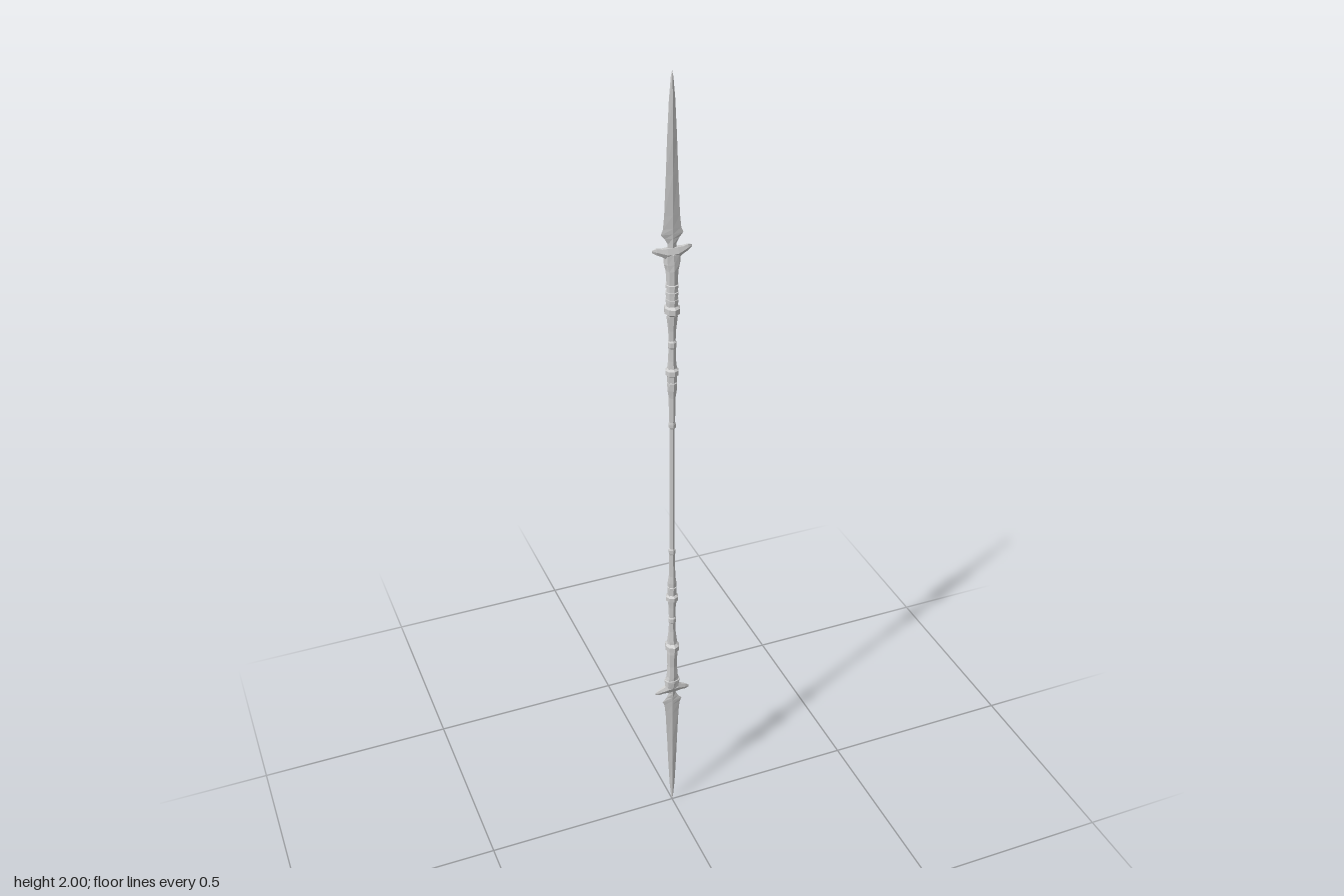
import * as THREE from 'three';

const material = new THREE.MeshStandardMaterial({ color: 0xcccccc, flatShading: true });

// Loft through rows of [height, half width x, half depth z, x offset]
function loft(name, rows, sides) {
  const geo = new THREE.CylinderGeometry(1, 1, 1, sides, rows.length - 1, true);
  const pos = geo.attributes.position;
  for (let i = 0; i < pos.count; i++) {
    const row = rows[rows.length - 1 - Math.floor(i / (sides + 1))];
    const [y, rx, rz, dx = 0] = row;
    pos.setXYZ(i, pos.getX(i) * rx + dx, y, pos.getZ(i) * rz);
  }
  geo.computeVertexNormals();
  const mesh = new THREE.Mesh(geo, material);
  mesh.name = name;
  return mesh;
}

// Band around the shaft with bevelled edges
function band(name, y, h, rx, rz = rx) {
  return loft(name, [
    [y - h / 2, rx * 0.55, rz * 0.55], [y - h / 4, rx, rz],
    [y + h / 4, rx, rz], [y + h / 2, rx * 0.55, rz * 0.55],
  ], 8);
}

// One end of the staff; heights are measured from the middle
function buildEnd(name) {
  const end = new THREE.Group();
  end.name = name;

  // Sleeve and narrow neck
  end.add(loft('sleeve', [
    [0.168, 0.006, 0.006], [0.172, 0.009, 0.008], [0.18, 0.009, 0.008],
    [0.186, 0.007, 0.007], [0.25, 0.008, 0.008], [0.27, 0.011, 0.010],
    [0.32, 0.012, 0.011], [0.345, 0.009, 0.009], [0.39, 0.008, 0.007],
    [0.42, 0.009, 0.008], [0.455, 0.013, 0.012],
  ], 6));

  // Collars
  end.add(band('lowerCollar', 0.316, 0.022, 0.016));
  end.add(band('lowerCollarRing', 0.286, 0.012, 0.012));
  end.add(band('neckRing', 0.385, 0.024, 0.010));
  end.add(band('upperCollar', 0.47, 0.026, 0.018, 0.021));

  // Socket flaring into the guard
  end.add(loft('socket', [
    [0.45, 0.012, 0.012], [0.49, 0.014, 0.015], [0.53, 0.013, 0.013],
    [0.565, 0.015, 0.014], [0.58, 0.019, 0.013], [0.602, 0.020, 0.011],
    [0.612, 0.012, 0.006], [0.612, 0, 0],
  ], 8));

  // Thick crossguard with a rounded outline, swept towards the blade at its tips
  const guard = loft('crossguard', [
    [-0.046, 0.003, 0.0005, -0.007], [-0.036, 0.008, 0.0045, -0.005],
    [-0.024, 0.010, 0.0075, -0.001], [-0.012, 0.015, 0.010, 0.003],
    [0.012, 0.015, 0.010, 0.003], [0.024, 0.010, 0.0075, -0.001],
    [0.036, 0.008, 0.0045, -0.005], [0.046, 0.003, 0.0005, -0.007],
  ], 6);
  guard.rotation.z = -Math.PI / 2;
  guard.position.y = 0.607;
  end.add(guard);

  // Diamond-section blade with barbed shoulders
  end.add(loft('blade', [
    [0.60, 0.013, 0.006], [0.625, 0.010, 0.005], [0.638, 0.017, 0.0045],
    [0.648, 0.026, 0.0045], [0.66, 0.021, 0.0045], [0.69, 0.018, 0.0045],
    [0.78, 0.014, 0.0045], [0.86, 0.011, 0.0045], [0.94, 0.007, 0.004],
    [0.985, 0.003, 0.003], [1.0, 0, 0],
  ], 4));
  return end;
}

export function createModel() {
  const model = new THREE.Group();
  model.name = 'doubleSpear';
  const staff = new THREE.Group();
  staff.name = 'staff';
  staff.position.y = 1;
  model.add(staff);

  // Central shaft
  staff.add(loft('shaft', [[-0.46, 0.006, 0.006], [0.46, 0.006, 0.006]], 6));

  // Matching ends, the lower one turned upside down
  const upper = buildEnd('upperEnd');
  const lower = buildEnd('lowerEnd');
  lower.rotation.z = Math.PI;
  staff.add(upper, lower);

  // Wrapped rings on the upper socket, a plain ring on the lower one
  for (let i = 0; i < 3; i++) upper.add(band('wrapRing', 0.494 + i * 0.017, 0.012, 0.015, 0.016));
  lower.add(band('socketRing', 0.58, 0.012, 0.021, 0.015));
  return model;
}
